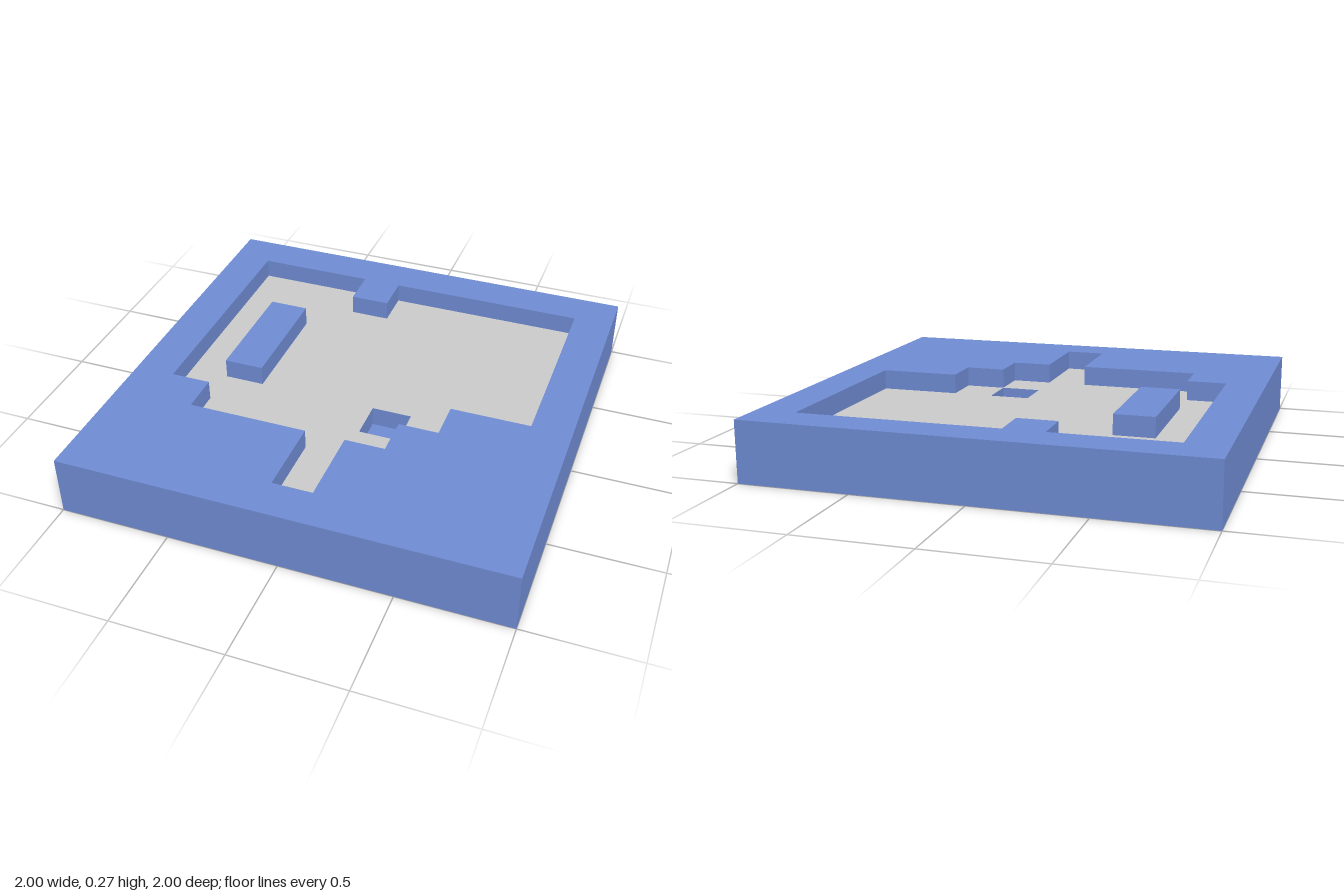
import * as THREE from 'three';

const CELL = 2 / 11;                                   // plan is laid out on an 11 x 11 grid
const TOP = 1.5 * CELL, FLOOR = CELL, PIT = CELL / 2;  // heights of the levels

const rect = (x0, z0, x1, z1) => [[x0, z0], [x1, z0], [x1, z1], [x0, z1]];
const reversed = (loop) => [...loop].reverse();

// Horizontal face bounded by a loop of [x, z] grid points
function face(loop, y, holes = [], down = false) {
  const sign = down ? 1 : -1;
  const points = (l) => l.map(([x, z]) => new THREE.Vector2(x * CELL, sign * z * CELL));
  const shape = new THREE.Shape(points(loop));
  shape.holes = holes.map((h) => new THREE.Path(points(h)));
  return new THREE.ShapeGeometry(shape).rotateX(sign * Math.PI / 2).translate(0, y, 0);
}

// Upright walls along a loop: facing inward, or outward when the loop is reversed
function walls(loop, y0, y1) {
  const pos = [];
  loop.forEach(([ax, az], i) => {
    const [bx, bz] = loop[(i + 1) % loop.length];
    const a = [ax * CELL, az * CELL], b = [bx * CELL, bz * CELL];
    const quad = [[a, y1], [a, y0], [b, y0], [a, y1], [b, y0], [b, y1]];
    quad.forEach(([p, y]) => pos.push(p[0], y, p[1]));
  });
  const geo = new THREE.BufferGeometry();
  geo.setAttribute('position', new THREE.Float32BufferAttribute(pos, 3));
  geo.computeVertexNormals();
  return geo;
}

export function createModel() {
  const model = new THREE.Group();
  const blue = new THREE.MeshStandardMaterial({ color: 0x6f8cd4 });
  const grey = new THREE.MeshStandardMaterial({ color: 0xcccccc });
  const add = (name, geometry, material = blue) => {
    const mesh = new THREE.Mesh(geometry, material);
    mesh.name = name;
    model.add(mesh);
  };

  const slab = rect(-5.5, -5.5, 5.5, 5.5);
  const island = rect(-3.5, -2.5, -2.5, 0.5);
  const pit = rect(0.5, 0.5, 1.5, 1.5);

  // Stepped outline of the recess, split where the pit touches its corner
  const recessA = [
    [-4.5, -4.5], [-1.5, -4.5], [-1.5, -3.5], [-0.5, -3.5], [-0.5, -4.5],
    [4.5, -4.5], [4.5, 0.5], [2.5, 0.5], [2.5, 1.5], [1.5, 1.5],
  ];
  const recessB = [
    [1.5, 2.5], [0.5, 2.5], [0.5, 4.5], [-0.5, 4.5], [-0.5, 2.5],
    [-3.5, 2.5], [-3.5, 1.5], [-4.5, 1.5],
  ];
  const recess = [...recessA, ...recessB];
  const pitDetour = [[1.5, 0.5], [0.5, 0.5], [0.5, 1.5], [1.5, 1.5]];

  // Slab with its rim
  add('slabSides', walls(reversed(slab), 0, TOP));
  add('slabBottom', face(slab, 0, [], true));
  add('rimTop', face(slab, TOP, [recess]));

  // Recess
  add('recessWalls', walls(recess, FLOOR, TOP));
  add('recessFloor', face([...recessA, ...pitDetour, ...recessB], FLOOR, [island]), grey);

  // Raised island
  add('islandSides', walls(reversed(island), FLOOR, TOP));
  add('islandTop', face(island, TOP));

  // Sunken square pit
  add('pitWalls', walls(pit, PIT, FLOOR));
  add('pitFloor', face(pit, PIT));

  return model;
}
